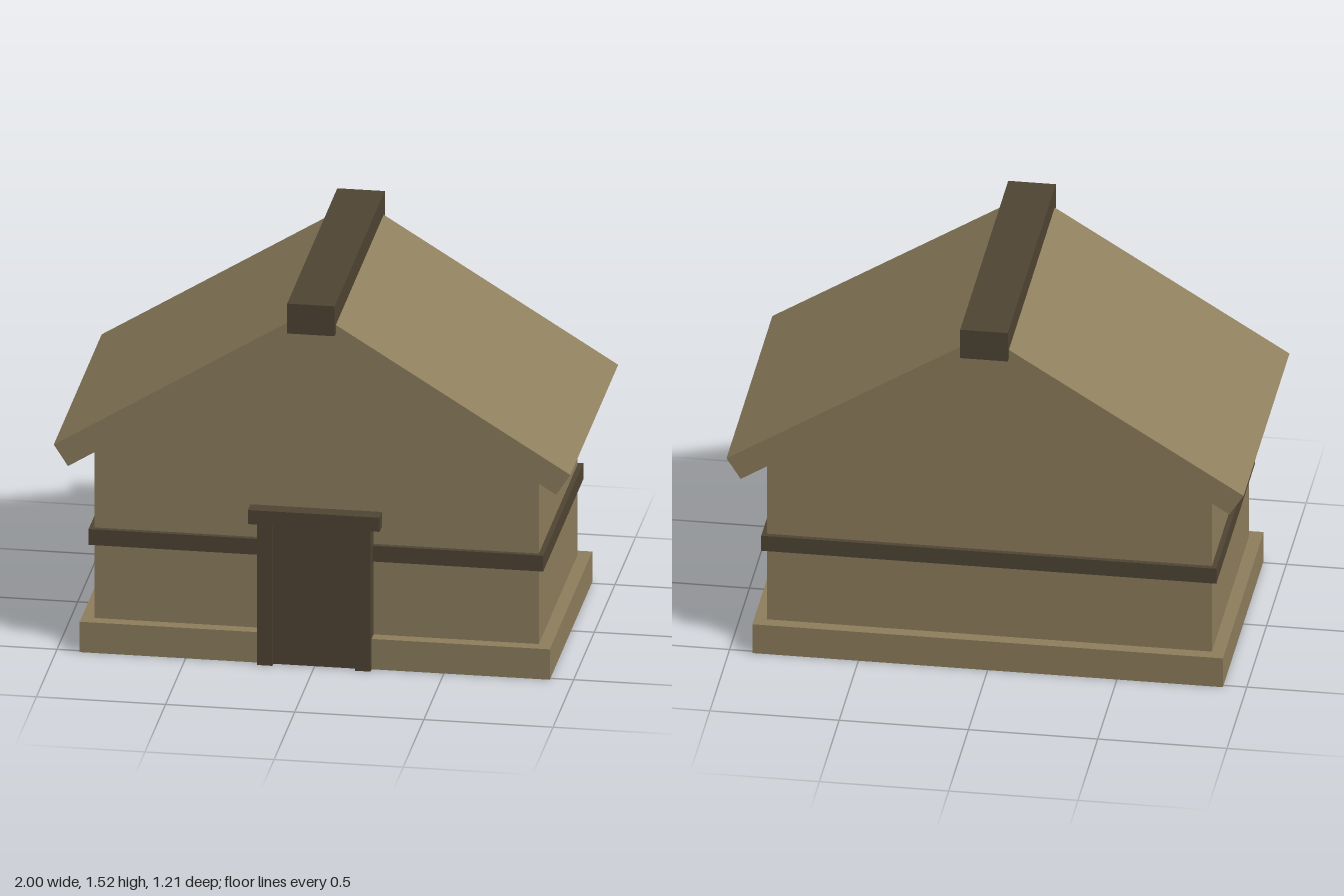
import * as THREE from 'three';

export function createModel() {
  const group = new THREE.Group();
  group.name = 'cottage';
  const tan = new THREE.MeshStandardMaterial({ color: 0x8f7f5e });
  tan.name = 'tan';
  const darkWood = new THREE.MeshStandardMaterial({ color: 0x504534 });
  darkWood.name = 'dark wood';

  const add = (name, geometry, material) => {
    const mesh = new THREE.Mesh(geometry, material);
    mesh.name = name;
    group.add(mesh);
    return mesh;
  };
  // Box given by its extents on each axis
  const box = (name, material, [x0, x1], [y0, y1], [z0, z1]) =>
    add(name, new THREE.BoxGeometry(x1 - x0, y1 - y0, z1 - z0), material)
      .position.set((x0 + x1) / 2, (y0 + y1) / 2, (z0 + z1) / 2);
  // Front outline extruded evenly about z = 0
  const prism = (name, material, points, halfDepth) => {
    const shape = new THREE.Shape(points.map(([x, y]) => new THREE.Vector2(x, y)));
    const geometry = new THREE.ExtrudeGeometry(shape, { depth: 2 * halfDepth, bevelEnabled: false });
    geometry.translate(0, 0, -halfDepth);
    add(name, geometry, material);
  };

  // Body
  box('plinth', tan, [-0.91, 0.91], [0, 0.125], [-0.515, 0.515]);
  box('walls', tan, [-0.86, 0.86], [0.1, 0.825], [-0.467, 0.467]);
  box('wallBand', darkWood, [-0.88, 0.88], [0.432, 0.497], [-0.487, 0.487]);
  prism('gable', tan, [[-0.86, 0.825], [0.86, 0.825], [0, 1.372]], 0.475);

  // Roof slopes and ridge
  for (const [side, name] of [[1, 'leftRoof'], [-1, 'rightRoof']]) {
    prism(name, tan, [[0, 1.375], [side * 0.945, 0.788], [side, 0.873], [0, 1.49]], 0.58);
  }
  box('ridgeBeam', darkWood, [-0.092, 0.092], [1.397, 1.52], [-0.607, 0.607]);

  // Doorway
  box('door', darkWood, [-0.16, 0.16], [0.003, 0.575], [0.46, 0.525]);
  for (const side of [-1, 1]) {
    const x = side * 0.19;
    box(side > 0 ? 'leftDoorPost' : 'rightDoorPost', darkWood, [x - 0.03, x + 0.03], [0, 0.577], [0.465, 0.54]);
  }
  box('lintel', darkWood, [-0.255, 0.255], [0.577, 0.635], [0.479, 0.54]);

  return group;
}
